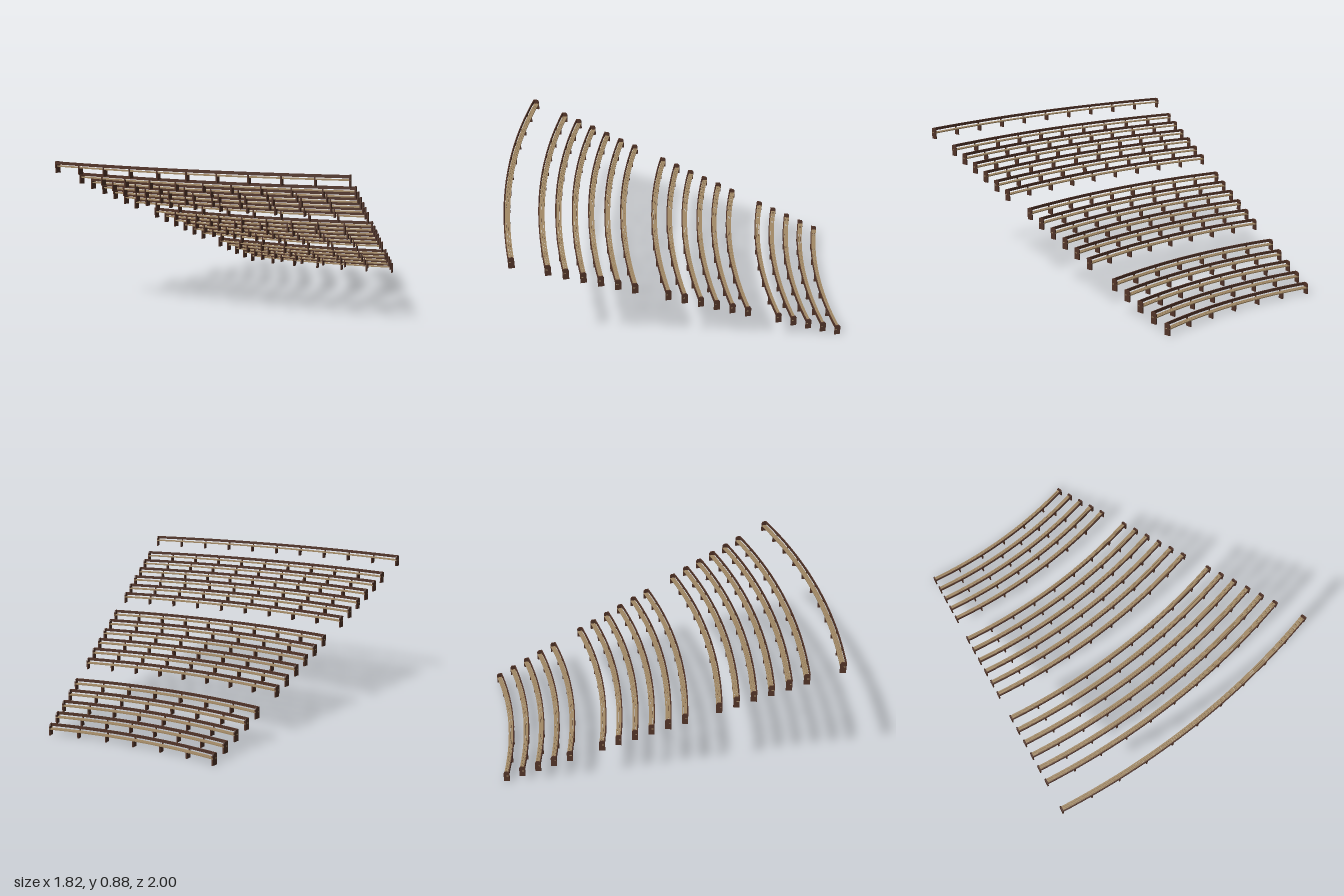
import * as THREE from 'three';

const HALF = 0.1928;          // half angle of every row
const CENTRE_Z = -3.742;      // common centre of the arcs
const DEPTH = 0.035;          // front to back of one bench
const HEIGHT = 0.067;
const THICK = 0.008;          // thickness of the upright panels

// Beam following an arc: a box bent around the common centre
function arcBeam(r0, r1, y0, y1, segments) {
  const g = new THREE.BoxGeometry(1, 1, 1, segments, 1, 1);
  const p = g.attributes.position;
  for (let i = 0; i < p.count; i++) {
    const a = p.getX(i) * 2 * HALF;
    const r = r0 + (p.getZ(i) + 0.5) * (r1 - r0);
    const y = y0 + (p.getY(i) + 0.5) * (y1 - y0);
    p.setXYZ(i, r * Math.sin(a), y, r * Math.cos(a));
  }
  g.computeVertexNormals();
  return g;
}

// Upright panel from a side profile of [depth, height] points
function panel(points) {
  const shape = new THREE.Shape(points.map(([z, y]) => new THREE.Vector2(z, y)));
  const g = new THREE.ExtrudeGeometry(shape, { depth: THICK, bevelEnabled: false });
  g.translate(0, 0, -THICK / 2);
  g.rotateY(-Math.PI / 2);
  return g;
}

export function createModel() {
  const model = new THREE.Group();
  model.name = 'curvedBenchRows';
  const tanWood = new THREE.MeshStandardMaterial({ color: 0xa38a66 });
  tanWood.name = 'tan wood';
  const darkWood = new THREE.MeshStandardMaterial({ color: 0x523428 });
  darkWood.name = 'dark brown wood';

  const h = DEPTH / 2;
  // End panels rise to the backrest, with a cut front corner
  const endGeo = panel([[-h, 0], [h, 0], [h, HEIGHT], [-h + 0.008, HEIGHT], [-h, HEIGHT - 0.012]]);
  // Inner legs carry the seat, with a slim stem up to the backrest
  const legGeo = panel([[-h + 0.002, 0], [h, 0], [h, 0.062], [h - 0.005, 0.062], [h - 0.005, 0.036], [-h + 0.002, 0.036]]);

  function addRow(slot) {
    const row = new THREE.Group();
    row.name = 'benchRow';
    row.position.set(0, 0.0407 * slot, CENTRE_Z);
    const r = 2.81 + 0.0958 * slot;
    const bays = Math.ceil((2 * HALF * r) / 0.184);
    const add = (name, geo, mat) => {
      const m = new THREE.Mesh(geo, mat);
      m.name = name;
      row.add(m);
      return m;
    };

    // Three seat slats
    for (let i = 0; i < 3; i++) {
      const r0 = r - h + i * 0.0102;
      add('seatSlat', arcBeam(r0, r0 + 0.0092, 0.036, 0.042, bays * 3), tanWood);
    }
    // Backrest on the outer side
    add('backrest', arcBeam(r + h - 0.006, r + h, 0.050, HEIGHT, bays * 3), darkWood);

    // Legs at every bay, full panels at both ends
    for (let i = 0; i <= bays; i++) {
      const end = i === 0 || i === bays;
      const inset = HALF - THICK / 2 / r;
      const a = -inset + (2 * inset * i) / bays;
      const leg = add(end ? 'endPanel' : 'innerLeg', end ? endGeo : legGeo, darkWood);
      leg.position.set(r * Math.sin(a), 0, r * Math.cos(a));
      leg.rotation.y = a;
    }
    model.add(row);
  }

  // Rising blocks of rows, separated by cross aisles
  const aisles = [5, 12, 19];
  for (let slot = 0; slot <= 20; slot++) {
    if (!aisles.includes(slot)) addRow(slot);
  }
  return model;
}
